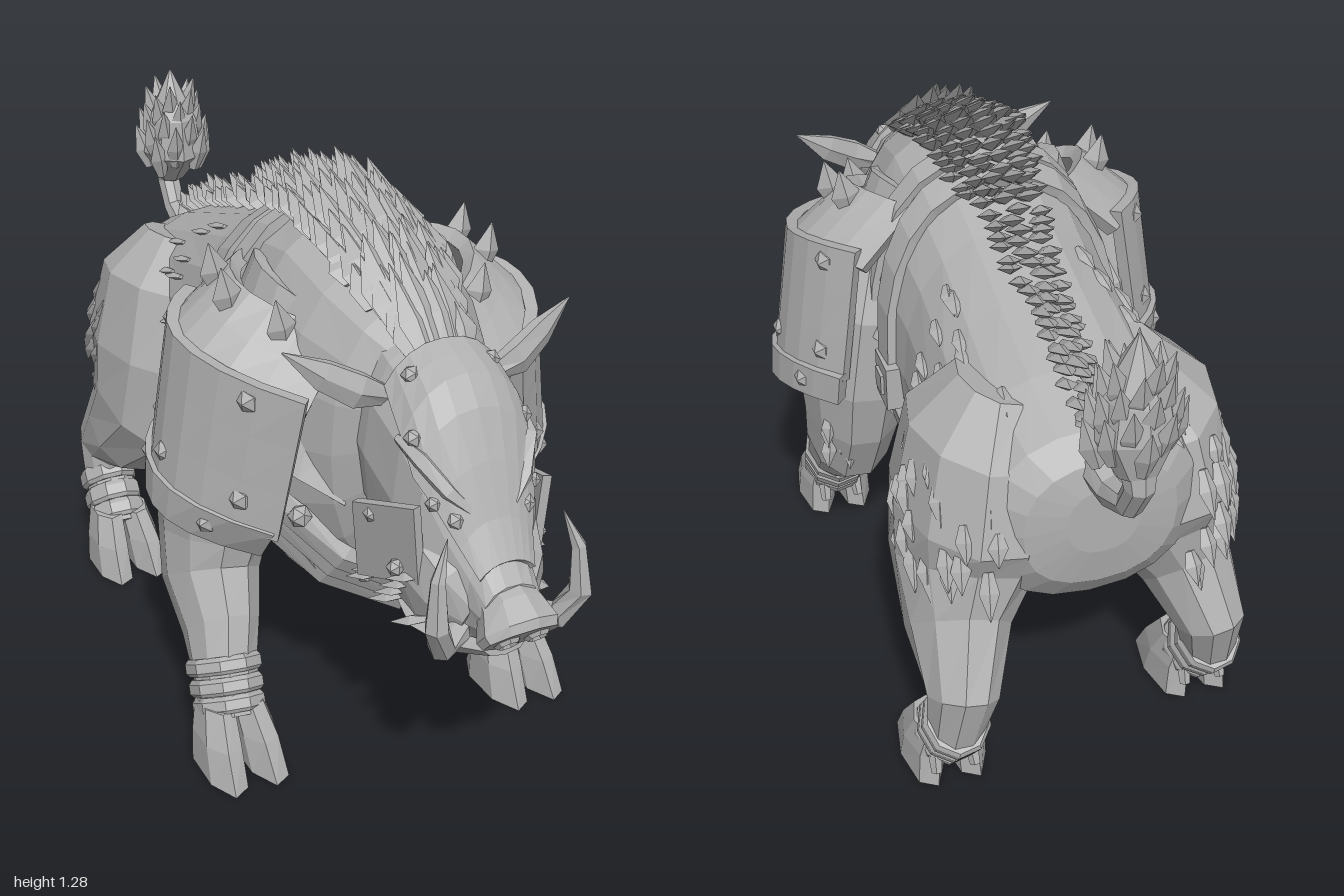
import * as THREE from 'three';
import { mergeGeometries } from 'three/addons/utils/BufferGeometryUtils.js';

const V = (x, y, z) => new THREE.Vector3(x, y, z);
const Y = V(0, 1, 0), Z = V(0, 0, 1), DOWN = V(0, -1, 0);
let seed = 7;
const rnd = (a = 0, b = 1) => {
  seed = (seed * 16807) % 2147483647;
  return a + (b - a) * seed / 2147483647;
};
const flat = (g) => {
  const f = g.index ? g.toNonIndexed() : g;
  f.deleteAttribute('uv');
  f.computeVertexNormals();
  return f;
};
const squared = (c, p) => Math.sign(c) * Math.abs(c) ** p;
const BOXY = 0.88;

// closed skin through rings [x, y, z, halfWidth, halfHeight]; a fixed axis keeps the rings parallel
function loft(rings, sides = 10, ref = Y, power = 1, axis = null) {
  const c = rings.map((r) => V(r[0], r[1], r[2]));
  const pos = [], idx = [], n = rings.length;
  rings.forEach((r, i) => {
    const t = axis ? axis.clone() : c[Math.min(i + 1, n - 1)].clone().sub(c[Math.max(i - 1, 0)]).normalize();
    const side = ref.clone().cross(t).normalize(), up = t.clone().cross(side);
    for (let j = 0; j < sides; j++) {
      const a = j / sides * Math.PI * 2;
      const p = c[i].clone().addScaledVector(side, squared(Math.cos(a), power) * r[3])
        .addScaledVector(up, squared(Math.sin(a), power) * r[4]);
      pos.push(p.x, p.y, p.z);
    }
  });
  pos.push(...c[0].toArray(), ...c[n - 1].toArray());
  for (let j = 0; j < sides; j++) {
    const k = (j + 1) % sides, e = (n - 1) * sides;
    for (let i = 0; i < n - 1; i++) {
      const a = i * sides;
      idx.push(a + j, a + k, a + sides + k, a + j, a + sides + k, a + sides + j);
    }
    idx.push(n * sides, k, j, n * sides + 1, e + j, e + k);
  }
  const g = new THREE.BufferGeometry();
  g.setAttribute('position', new THREE.Float32BufferAttribute(pos, 3));
  g.setIndex(idx);
  return flat(g);
}

// bent plate: fn(u, v) with u, v from -1 to 1, thickened outward
function plate(fn, nu, nv, thick) {
  const g = new THREE.BoxGeometry(2, 2, 1, nu, nv, 1), p = g.attributes.position;
  for (let i = 0; i < p.count; i++) {
    const u = p.getX(i), v = p.getY(i), e = 0.01;
    const du = fn(u + e, v).sub(fn(u - e, v)), dv = fn(u, v + e).sub(fn(u, v - e));
    const q = fn(u, v).addScaledVector(du.cross(dv).normalize(), p.getZ(i) * thick);
    p.setXYZ(i, q.x, q.y, q.z);
  }
  return flat(g);
}

// pointed tuft of hair
function spike(base, dir, len, w) {
  const d = dir.clone().normalize();
  const at = (k, a, b) => [...base.clone().addScaledVector(d, len * k).toArray(), a, b];
  const ref = Math.abs(d.y) > 0.9 ? Z : Y;
  return loft([at(-0.15, w * 0.5, w * 0.3), at(0.35, w, w * 0.5), at(1, 0.001, 0.001)], 4, ref);
}

// sections as [z, top, bottom, halfWidth]
const BODY = [[-.755, .8, .64, .08], [-.74, .86, .55, .17], [-.69, .91, .48, .235], [-.55, .97, .44, .27],
  [-.35, 1.03, .42, .265], [-.15, 1.09, .39, .26], [.05, 1.16, .36, .275], [.22, 1.19, .3, .275],
  [.38, 1.14, .33, .255], [.5, 1.08, .42, .2], [.58, 1.02, .55, .13]];
const HEAD = [[.45, 1.06, .6, .15], [.58, 1.03, .54, .165], [.7, .985, .47, .16], [.77, .9, .43, .145],
  [.82, .77, .43, .11], [.87, .67, .45, .08], [.92, .61, .48, .07]];
const skin = (t, sides) => loft(t.map(([z, a, b, w]) => [0, (a + b) / 2, z, w, (a - b) / 2]), sides, Y, BOXY, Z);
function surface(table, z, ang, grow = 1) {
  let i = 0;
  while (i < table.length - 2 && table[i + 1][0] < z) i++;
  const A = table[i], B = table[i + 1], k = THREE.MathUtils.clamp((z - A[0]) / (B[0] - A[0]), 0, 1);
  const [, top, bot, w] = A.map((a, j) => a + (B[j] - a) * k);
  return V(squared(Math.cos(ang), BOXY) * w * grow, (top + bot) / 2 + squared(Math.sin(ang), BOXY) * (top - bot) / 2 * grow, z);
}

export function createModel() {
  const root = new THREE.Group();
  root.name = 'armouredBoar';
  const grey = new THREE.MeshStandardMaterial({ color: 0xb0b0b0 });
  grey.name = 'stone grey';
  const add = (name, ...geos) => {
    const m = new THREE.Mesh(geos.length > 1 ? mergeGeometries(geos) : geos[0], grey);
    m.name = name;
    root.add(m);
  };
  const stud = (p, r = 0.03) => flat(new THREE.IcosahedronGeometry(r, 0).translate(p.x, p.y, p.z));

  add('body', skin(BODY, 20));
  add('head', skin(HEAD, 14));

  // nose disc tilted downward, and lower jaw
  add('nose', loft([[0, .58, .85, .06, .05], [0, .55, .91, .075, .06], [0, .52, .945, .095, .066], [0, .508, .958, .088, .055]], 9));
  add('nostrils', ...[-1, 1].map((s) => flat(new THREE.TorusGeometry(.022, .008, 4, 7).rotateX(.7).translate(s * .035, .508, .96))));
  add('lowerJaw', loft([[0, .5, .64, .13, .05], [0, .45, .74, .135, .045], [0, .44, .82, .1, .04], [0, .455, .9, .05, .02]], 8));

  // riveted face mask
  const mask = (u, v) => surface(HEAD, .75 + .14 * v, Math.PI / 2 + u * (1.1 - .25 * Math.abs(v)), 1.02);
  add('faceMask', plate((u, v) => mask(-u, -v), 8, 6, .016));
  add('maskStuds', ...[-1, 1].flatMap((s) => [[.6, -.75], [.85, -.2], [.8, .5]].map(([u, v]) => stud(mask(s * u, v), .022))));

  for (const s of [-1, 1]) {
    const side = s > 0 ? 'left' : 'right';
    const mirror = (p) => V(s * p.x, p.y, p.z);

    // face details
    add(side + 'Eye', stud(mirror(surface(HEAD, .79, .55, 1.02)), .018));
    add(side + 'Brow', loft([[.83, 1.15, .01], [.8, .85, .02], [.75, .65, .022], [.69, .5, .01]].map(([z, a, r]) =>
      [...mirror(surface(HEAD, z, a, 1.03)).toArray(), r, r]), 5));
    add(side + 'Ear', loft([[s * .12, .92, .6, .02, .02], [s * .19, .945, .6, .025, .042],
      [s * .26, .985, .58, .02, .036], [s * .34, 1.04, .56, .002, .002]], 6));
    add(side + 'Tusk', loft([[s * .08, .49, .85, .028, .028], [s * .14, .48, .88, .03, .03], [s * .17, .55, .91, .027, .027],
      [s * .165, .65, .9, .017, .017], [s * .135, .73, .88, .001, .001]], 6, Z));
    add(side + 'Cheek', loft([[s * .1, .62, .62, .06, .09], [s * .1, .6, .72, .07, .12], [s * .09, .55, .8, .055, .1], [s * .06, .52, .86, .03, .05]], 8));
    add(side + 'CheekPlate', plate((u, v) => V(s * (.168 + .022 * s * u + .008 * v), .64 + .09 * v - .03 * u * s, .7 - s * u * .09), 3, 2, .02));
    add(side + 'CheekStuds', stud(V(s * .185, .69, .66), .02), stud(V(s * .172, .6, .74), .02));
    add(side + 'CheekFur', ...Array.from({ length: 9 }, (_, i) =>
      spike(V(s * .14, .5 + .03 * (i % 4), .6 + .025 * i), V(s * .6, -.25, -.6), .07, .022)));

    // shoulder armour: upper collar, main shield and lower rim, the front hanging lower than the back
    const shell = (y0, y1, x0, x1, front, back, arch) => (u, v) => {
      const k = (v + 1) / 2, f = -s * u, mix = (a, b) => a + (b - a) * k;
      const w = f > 0 ? mix(front[0], front[1]) : mix(back[0], back[1]);
      return V(s * (mix(x0, x1) - (f > 0 ? .17 : .11) * u * u), mix(y0, y1) - arch * u * u - .05 * f, .22 + f * w);
    };
    const shield = shell(.63, .965, .475, .425, [.24, .28], [.22, .2], .025);
    const rim = shell(.57, .65, .488, .482, [.18, .24], [.22, .23], .02);
    const collar = shell(.94, 1.06, .415, .28, [.25, .16], [.21, .17], .05);
    const pad = shell(.76, 1.08, .34, .215, [.29, .2], [.28, .2], .08);
    add(side + 'ShoulderShield', plate(shield, 8, 3, .03));
    add(side + 'ShieldRim', plate(rim, 8, 1, .035));
    add(side + 'ShoulderCollar', plate(collar, 8, 2, .035));
    add(side + 'InnerShoulderPad', plate(pad, 8, 2, .03));
    add(side + 'ShieldStuds', ...[[-.75, -.6], [-.7, .75], [.75, -.6], [.7, .75], [0, -.6]].map(([u, v]) => stud(shield(u, v))),
      ...[-.6, .6].map((u) => stud(rim(u, 0))));
    add(side + 'ShoulderSpikes', ...[-.4, .15, .7].map((f) => spike(collar(-s * f, .4), V(s * .2, 1, 0), .1, .035)));
    add(side + 'Buckle', flat(new THREE.BoxGeometry(.04, .11, .1).translate(s * .275, .69, -.07)),
      flat(new THREE.BoxGeometry(.055, .05, .05).translate(s * .275, .69, -.07)));

    // legs: outline rings, then bindings and a cloven hoof
    const leg = (name, path, dx, dz) => {
      const n = path.length - 1;
      const pts = path.map(([x, y, z, a, b], i) => [s * (x + dx * i / n), y, z + dz * i / n, a, b]);
      add(side + name, loft(pts, 10, Z));
      const [A, B] = [pts[n - 1], pts[n]];
      add(side + name + 'Wraps', ...[0, .4, .75].map((k) => {
        const c = A.map((a, i) => a + (B[i] - a) * k), d = A.map((a, i) => (B[i] - a) * .17);
        const ring = (f, g) => [c[0] + d[0] * f, c[1] + d[1] * f, c[2] + d[2] * f, c[3] + g, c[4] + g];
        return loft([ring(-1, .004), ring(-.5, .012), ring(.6, .012), ring(1, .004)], 9, Z);
      }));
      const [fx, , fz] = B;
      add(side + name + 'Hoof', ...[-1, 1].flatMap((t) => [
        loft([[fx + t * .035, .15, fz - .01, .04, .07], [fx + t * .045, .08, fz + .02, .047, .095],
          [fx + t * .05, 0, fz + .04, .047, .125]], 7, Z, 1, DOWN),
        loft([[fx + t * .04, .12, fz - .05, .02, .02], [fx + t * .045, .05, fz - .085, .012, .014]], 5, Z)]));
    };
    leg('FrontLeg', [[.24, .95, .2, .08, .12], [.28, .78, .19, .14, .19], [.31, .58, .18, .14, .18], [.32, .46, .19, .12, .16],
      [.33, .36, .22, .108, .14], [.335, .27, .31, .085, .11], [.34, .2, .36, .075, .085], [.34, .1, .42, .07, .075]], s > 0 ? -.015 : .07, 0);
    leg('HindLeg', [[.15, .93, -.48, .08, .12], [.18, .82, -.48, .16, .22], [.21, .64, -.485, .17, .26], [.23, .5, -.495, .155, .235],
      [.27, .39, -.59, .11, .155], [.29, .29, -.69, .08, .1], [.3, .2, -.67, .065, .075], [.3, .09, -.58, .066, .072]],
    s > 0 ? .01 : .03, s > 0 ? -.04 : .05);

    // loose fur on haunches, elbows and flanks
    add(side + 'HaunchFur', ...Array.from({ length: 34 }, () => {
      const a = rnd(-.5, 1.1), b = rnd(-.2, 1.45);
      const p = V(s * (.2 + .17 * Math.cos(a) * Math.cos(b)), .64 + .26 * Math.sin(a), -.49 - .25 * Math.cos(a) * Math.sin(b));
      return spike(p, V(s * .08, -.7, -.4), rnd(.06, .1), .022);
    }));
    add(side + 'ElbowFur', ...Array.from({ length: 8 }, () =>
      spike(V(s * rnd(.27, .4), rnd(.36, .5), rnd(.07, .11)), V(s * .1, -.8, -.2), .07, .02)));
    add(side + 'FlankFur', ...Array.from({ length: 16 }, () =>
      spike(mirror(surface(BODY, rnd(-.7, -.2), rnd(.1, 1.1))), V(s * .15, -.2, -.9), .07, .018)));
  }

  // girth straps and belly bands
  const strap = (z, lean, w, grow) => plate((u, v) =>
    surface(BODY, z + lean * Math.sin(u * Math.PI) + v * w, u * Math.PI, grow), 24, 1, .024);
  add('girthStrap', strap(-.06, .06, .035, 1.03));
  add('frontStrap', strap(.06, .02, .03, 1.02));
  add('bellyBands', ...[-.02, .1, .22, .34].map((z) => plate((u, v) =>
    surface(BODY, z + v * .055, -Math.PI / 2 + u * .9, 1.02 + .015 * v), 10, 1, .02)));

  // V-shaped chest harness
  add('chestHarness', ...[0, 1, 2].map((i) => {
    const d = i * .04, b = i * .04;
    return loft([[-.27, .6 - d, .38 - b, .012, .035], [-.16, .49 - d, .49 - b, .016, .038], [0, .41 - d, .54 - b, .02, .04],
      [.16, .49 - d, .49 - b, .016, .038], [.27, .6 - d, .38 - b, .012, .035]], 4);
  }));
  add('harnessStuds', ...[-1, 1].flatMap((s) => [stud(V(s * .24, .58, .43), .028), stud(V(s * .13, .46, .53), .022)]));

  // mane of overlapping tufts along the spine
  const mane = [];
  for (let i = 0; i < 42; i++) {
    const k = i / 41, z = .6 - k * 1.31, half = Math.max(.1, .46 - .75 * Math.max(0, k - .27));
    const count = k < .5 ? 6 : 3;
    for (let j = 0; j < count; j++) {
      const f = (j + rnd(.2, .8)) / count * 2 - 1;
      const p = surface(BODY, z + rnd(-.01, .01), Math.PI / 2 - f * half);
      mane.push(spike(p, V(f * .15, k < .12 ? 1 : .72 - .42 * k, -.9), rnd(.85, 1.2) * (.175 - .075 * k) * (1 - .55 * f * f), .036 - .012 * k));
    }
  }
  add('mane', ...mane);

  // tail with brush
  add('tail', loft([[0, .84, -.72, .05, .05], [0, .83, -.8, .038, .038], [0, .86, -.88, .03, .03],
    [0, .93, -.92, .032, .032], [0, 1, -.9, .045, .045]], 8, V(1, 0, 0)));
  add('tailBrush', loft([[0, .95, -.91, .04, .04], [0, 1.03, -.88, .085, .085], [0, 1.12, -.875, .07, .07], [0, 1.25, -.88, .003, .003]], 8, Z),
    ...Array.from({ length: 30 }, (_, i) => {
      const a = i * 2.4, k = i / 30, r = .075 - .045 * k;
      return spike(V(Math.cos(a) * r, .98 + .15 * k, -.88 + Math.sin(a) * r), V(Math.cos(a) * .3, 1, Math.sin(a) * .3), .11, .026);
    }));
  return root;
}
